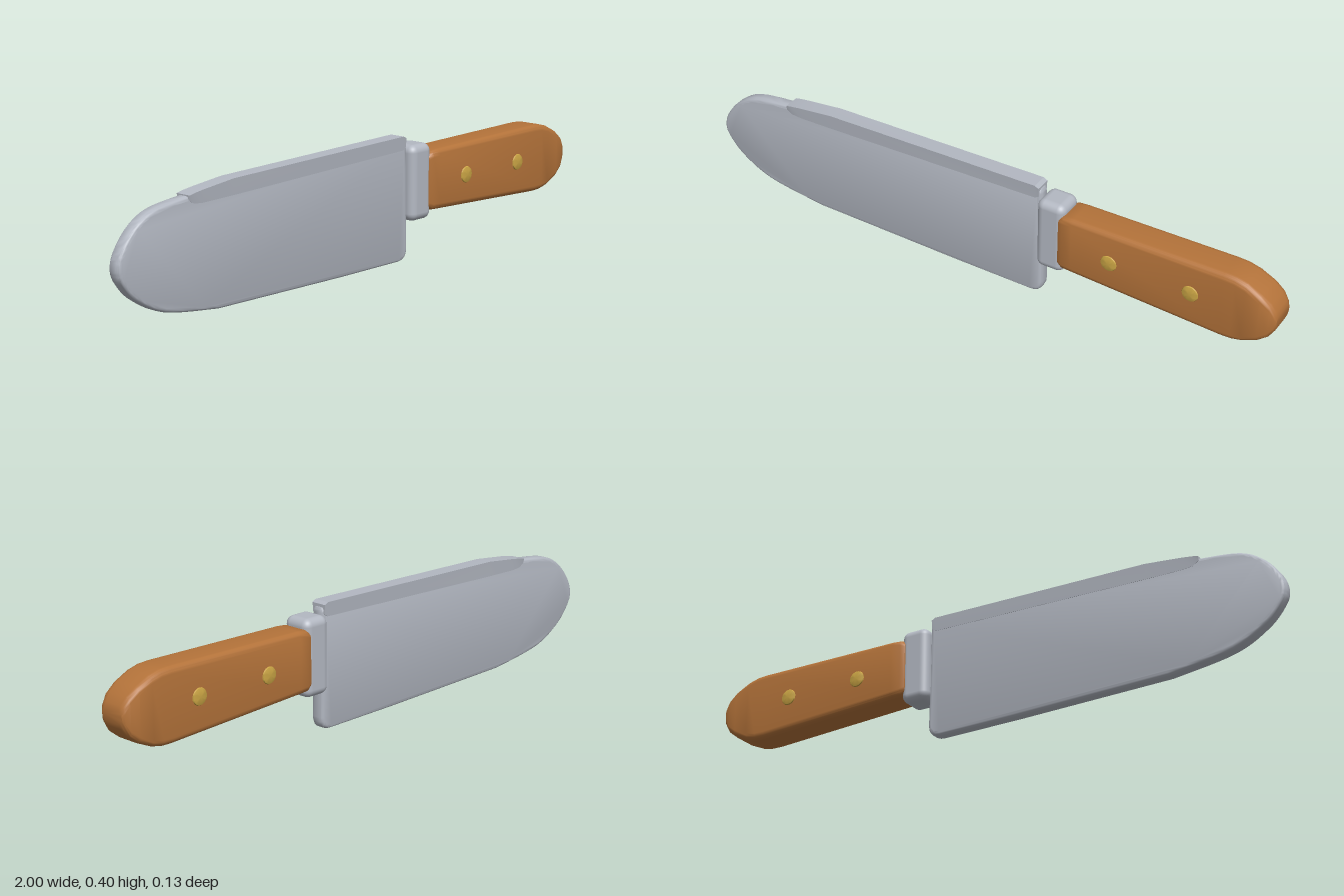
import * as THREE from 'three';
import { toCreasedNormals } from 'three/addons/utils/BufferGeometryUtils.js';
import { RoundedBoxGeometry } from 'three/addons/geometries/RoundedBoxGeometry.js';

const material = (name, color) => {
  const m = new THREE.MeshStandardMaterial({ color });
  m.name = name;
  return m;
};

// Joins rings of points along x into a closed solid
function loft(rings, crease) {
  const n = rings[0].length, pos = [], index = [];
  rings.forEach(r => r.forEach(p => pos.push(...p)));
  for (let i = 0; i < rings.length - 1; i++) {
    for (let j = 0; j < n; j++) {
      const a = i * n + j, b = a + n, c = i * n + (j + 1) % n, d = c + n;
      index.push(a, b, c, b, d, c);
    }
  }
  const last = (rings.length - 1) * n;
  for (let j = 1; j < n - 1; j++) {
    index.push(0, j, j + 1, last, last + j + 1, last + j);
  }
  const g = new THREE.BufferGeometry();
  g.setAttribute('position', new THREE.Float32BufferAttribute(pos, 3));
  g.setIndex(index);
  return toCreasedNormals(g, crease);
}

// Rounded rectangle across x, from y0 to y1 and half width hz
function roundedRing([x, y0, y1, hz, r]) {
  const ring = [], steps = 5;
  const corners = [[1, 1], [-1, 1], [-1, -1], [1, -1]];
  corners.forEach(([sz, sy], q) => {
    for (let k = 0; k <= steps; k++) {
      const t = (q + k / steps) * Math.PI / 2;
      const cy = sy > 0 ? y1 - r : y0 + r;
      ring.push([x, cy + r * Math.sin(t), sz * (hz - r) + r * Math.cos(t)]);
    }
  });
  return ring;
}

export function createModel() {
  const steel = material('steel', 0xb3b8c2);
  const wood = material('wood', 0xb4733a);
  const brass = material('brass', 0xc9a444);
  const model = new THREE.Group();
  model.name = 'knife';
  const add = (name, geometry, mat) => {
    const mesh = new THREE.Mesh(geometry, mat);
    mesh.name = name;
    model.add(mesh);
    return mesh;
  };

  // Blade: straight heel, curved belly and rounded tip
  const outline = new THREE.Shape();
  outline.moveTo(0.17, 0.004);
  outline.lineTo(-0.1, 0.006);
  outline.lineTo(-0.62, 0.016);
  outline.splineThru([
    [-0.82, 0.046], [-0.93, 0.1], [-0.985, 0.157], [-1, 0.2], [-0.985, 0.25],
    [-0.935, 0.31], [-0.86, 0.35], [-0.72, 0.368],
  ].map(p => new THREE.Vector2(...p)));
  outline.lineTo(-0.56, 0.38);
  outline.lineTo(0.185, 0.396);
  outline.quadraticCurveTo(0.203, 0.396, 0.204, 0.375);
  outline.lineTo(0.211, 0.045);
  outline.quadraticCurveTo(0.211, 0.004, 0.17, 0.004);
  const bevel = 0.012, half = 0.0225;
  const blade = new THREE.ExtrudeGeometry(outline, {
    depth: 2 * (half - bevel), bevelThickness: bevel, bevelSize: bevel,
    bevelOffset: -bevel, bevelSegments: 4, curveSegments: 5,
  });
  blade.translate(0, 0, bevel - half);
  add('blade', toCreasedNormals(blade, 0.6), steel);

  // Spine strip, wider at its top edge
  const spine = [
    [-0.735, 0.356, 0.37], [-0.715, 0.343, 0.374], [-0.68, 0.34, 0.379],
    [-0.56, 0.342, 0.392], [0.185, 0.362, 0.407], [0.198, 0.37, 0.4],
  ].map(([x, y0, y1]) => [
    [x, y0, 0.0235], [x, y1, 0.0265], [x, y1, -0.0265], [x, y0, -0.0235],
  ]);
  add('spine', loft(spine, 0.4), steel);

  // Bolster between blade and handle
  const bolster = new RoundedBoxGeometry(0.096, 0.245, 0.1, 4, 0.025);
  add('bolster', bolster, steel).position.set(0.25, 0.253, 0);

  // Handle: tapered grip and narrowing butt
  const sections = [
    [0.277, 0.178, 0.325, 0.04, 0.018],
    [0.282, 0.164, 0.338, 0.051, 0.018],
    [0.297, 0.156, 0.347, 0.057, 0.02],
    [0.33, 0.154, 0.35, 0.057, 0.02],
    [0.83, 0.13, 0.357, 0.057, 0.02],
    [0.865, 0.131, 0.355, 0.057, 0.02],
    [0.9, 0.139, 0.346, 0.057, 0.02],
    [0.947, 0.16, 0.323, 0.057, 0.02],
    [0.978, 0.184, 0.3, 0.054, 0.02],
    [0.994, 0.209, 0.277, 0.049, 0.02],
    [1, 0.224, 0.264, 0.042, 0.018],
  ];
  add('handle', loft(sections.map(roundedRing), 0.6), wood);

  // Domed rivets running through the handle
  const profile = [[0, -0.064], [0.016, -0.063], [0.025, -0.06], [0.028, -0.055],
    [0.028, 0.055], [0.025, 0.06], [0.016, 0.063], [0, 0.064]];
  const rivet = toCreasedNormals(
    new THREE.LatheGeometry(profile.map(p => new THREE.Vector2(...p)), 24), 0.7);
  rivet.rotateX(Math.PI / 2);
  [0.46, 0.73].forEach((x, i) => {
    add(`rivet${i + 1}`, rivet, brass).position.set(x, 0.248, 0);
  });

  return model;
}
